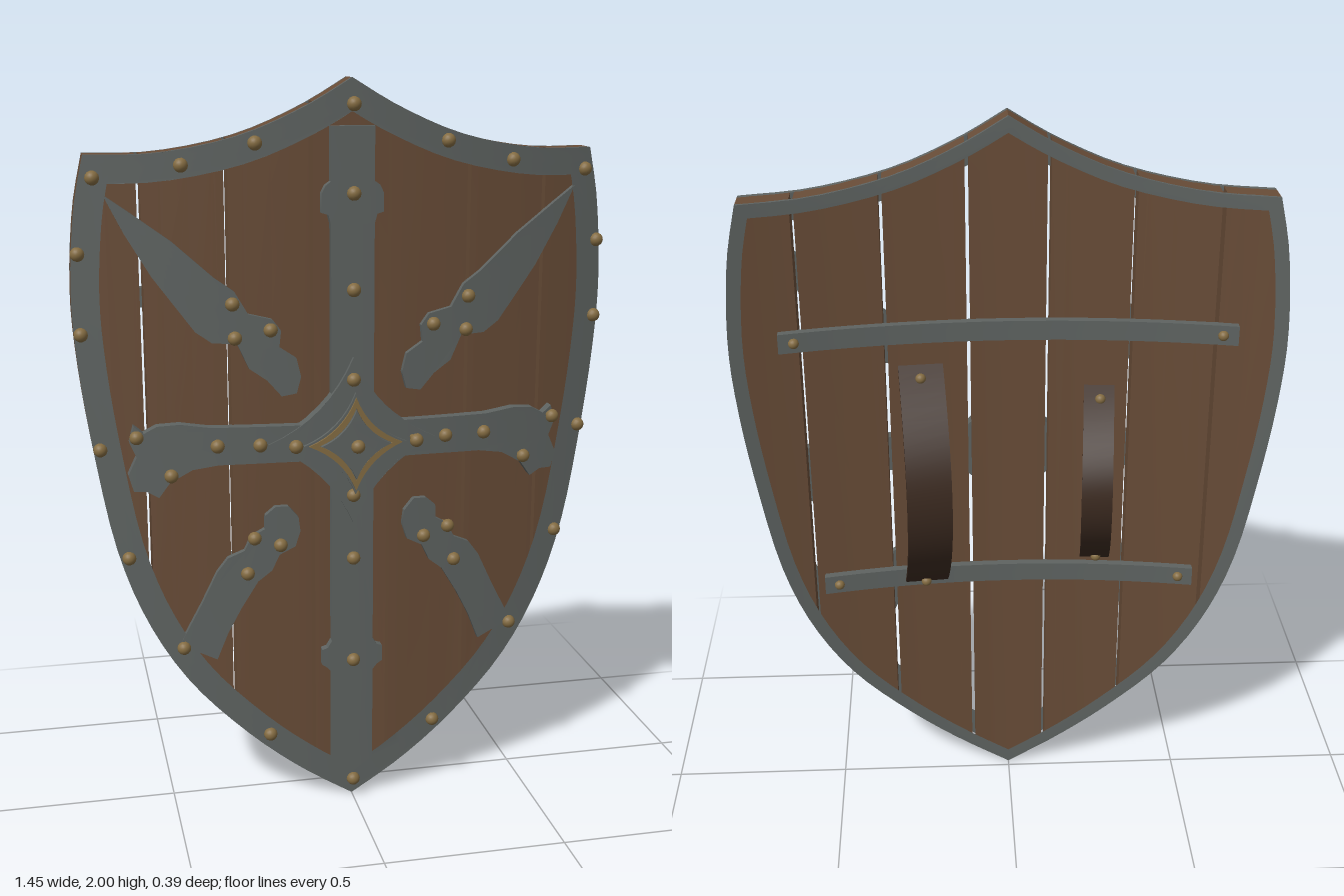
import * as THREE from 'three';
import { toCreasedNormals } from 'three/addons/utils/BufferGeometryUtils.js';

const mat = (name, color) => {
  const m = new THREE.MeshStandardMaterial({ color });
  m.name = name;
  return m;
};
const V = (x, y) => new THREE.Vector2(x, y);
const toPoints = (list) => list.map(([x, y]) => V(x, y));
const flip = (pts) => pts.map((p) => V(-p.x, p.y));
const smooth = (list, n) => new THREE.SplineCurve(toPoints(list)).getPoints(n);
const BEND = 0.19;
const bend = (x) => -BEND * x * x;

// Splits every triangle along the vertical line x = c
function splitAt(tris, c) {
  const out = [];
  for (const t of tris) {
    const lo = t.filter((p) => p[0] < c - 1e-6).length;
    const hi = t.filter((p) => p[0] > c + 1e-6).length;
    if (!lo || !hi) { out.push(t); continue; }
    for (const s of [-1, 1]) {
      const poly = [];
      for (let i = 0; i < 3; i++) {
        const a = t[i], b = t[(i + 1) % 3];
        const da = (a[0] - c) * s, db = (b[0] - c) * s;
        if (da >= 0) poly.push(a);
        if (da * db < 0) poly.push(a.map((v, k) => v + (b[k] - v) * da / (da - db)));
      }
      for (let i = 2; i < poly.length; i++) out.push([poly[0], poly[i - 1], poly[i]]);
    }
  }
  return out;
}

// A flat plate from z0 to z1, curved around the shield
function plate(outline, z0, z1, hole) {
  const shape = new THREE.Shape(outline);
  if (hole) shape.holes.push(new THREE.Path(hole));
  let g = new THREE.ExtrudeGeometry(shape, { depth: z1 - z0, bevelEnabled: false });
  if (g.index) g = g.toNonIndexed();
  const a = g.attributes.position.array;
  let tris = [];
  for (let i = 0; i < a.length; i += 9) {
    tris.push([0, 3, 6].map((k) => [a[i + k], a[i + k + 1], a[i + k + 2]]));
  }
  for (let c = -0.7; c < 0.71; c += 0.07) tris = splitAt(tris, c);
  const pos = tris.flat().flatMap(([x, y, z]) => [x, y, z + z0 + bend(x)]);
  const out = new THREE.BufferGeometry();
  out.setAttribute('position', new THREE.Float32BufferAttribute(pos, 3));
  return toCreasedNormals(out, 0.5);
}

// Keeps the part of an outline between x0 and x1
function clipX(pts, x0, x1) {
  for (const [c, s] of [[x0, 1], [x1, -1]]) {
    const out = [];
    pts.forEach((a, i) => {
      const b = pts[(i + 1) % pts.length];
      const da = (a.x - c) * s, db = (b.x - c) * s;
      if (da >= 0) out.push(a);
      if (da * db < 0) out.push(a.clone().lerp(b, da / (da - db)));
    });
    pts = out;
  }
  return pts;
}

// Moves a clockwise outline inward by d, with mitred corners
function inset(pts, d) {
  const n = pts.length;
  return pts.map((p, i) => {
    const e1 = p.clone().sub(pts[(i + n - 1) % n]).normalize();
    const e2 = pts[(i + 1) % n].clone().sub(p).normalize();
    const n1 = V(e1.y, -e1.x), n2 = V(e2.y, -e2.x);
    const m = n1.clone().add(n2).normalize();
    return p.clone().addScaledVector(m, d / m.dot(n1));
  });
}

// Four-pointed star with hollow sides
function star(rx, ry, pull = 0.28) {
  const s = new THREE.Shape().moveTo(rx, 0);
  for (const [cx, cy, x, y] of [[1, 1, 0, 1], [-1, 1, -1, 0], [-1, -1, 0, -1], [1, -1, 1, 0]]) {
    s.quadraticCurveTo(cx * rx * pull, cy * ry * pull, x * rx, y * ry);
  }
  return s.getPoints(8).slice(0, -1).map((p) => V(p.x, p.y + 1.05));
}

export function createModel() {
  const wood = mat('wood', 0x684c37), iron = mat('iron', 0x5e6361);
  const brass = mat('brass', 0x846c42), leather = mat('leather', 0x3a291f);
  const root = new THREE.Group();
  root.name = 'shield';
  const add = (name, geo, m, parent = root) => {
    const mesh = new THREE.Mesh(geo, m);
    mesh.name = name;
    parent.add(mesh);
    return mesh;
  };

  // Clockwise shield outline from the top point
  const top = smooth([[0, 2], [0.13, 1.925], [0.3, 1.855], [0.5, 1.815], [0.68, 1.81]], 14);
  const side = smooth([[0.68, 1.81], [0.71, 1.66], [0.725, 1.45], [0.715, 1.26], [0.685, 1.03],
    [0.635, 0.76], [0.56, 0.55], [0.45, 0.37], [0.3, 0.215], [0.15, 0.095], [0, 0.0]], 36);
  const half = [...top, ...side.slice(1)];
  const outline = [...half, ...flip(half.slice(1, -1)).reverse()];

  // Seven planks with narrow gaps
  const seams = [-0.8, -0.545, -0.325, -0.105, 0.105, 0.325, 0.545, 0.8];
  for (let i = 0; i < 7; i++) {
    add('plank', plate(clipX(outline, seams[i] + 0.005, seams[i + 1] - 0.005), 0.028, 0.086), wood);
  }

  // Iron rims, wide in front and narrow behind
  add('frontRim', plate(outline, 0.084, 0.101, inset(outline, 0.072)), iron);
  add('backRim', plate(outline, 0.02, 0.03, inset(outline, 0.036)), iron);

  // Upright band with two stepped collars
  const bandEdge = toPoints([[0.058, 1.88], [0.058, 1.74], [0.072, 1.73], [0.082, 1.71], [0.082, 1.66],
    [0.065, 1.655], [0.058, 1.63], [0.058, 0.475], [0.07, 0.455], [0.085, 0.45], [0.085, 0.405],
    [0.07, 0.395], [0.058, 0.38], [0.058, 0.11], [0, 0.07]]);
  add('uprightBand', plate([...bandEdge, ...flip(bandEdge.slice(0, -1)).reverse()], 0.085, 0.11), iron);

  // Cross arms with flared ends, and the hollow star at their middle
  const armEdge = toPoints([[0.2, 1.1], [0.38, 1.1], [0.46, 1.11], [0.52, 1.105], [0.555, 1.085],
    [0.58, 1.105], [0.592, 1.06], [0.575, 1.02], [0.598, 0.97], [0.585, 0.925], [0.55, 0.925],
    [0.52, 0.908], [0.49, 0.95], [0.43, 0.985], [0.36, 0.997], [0.2, 1.0]]);
  add('crossArms', plate([...armEdge, ...flip(armEdge).reverse()], 0.085, 0.117), iron);
  add('centreStar', plate(star(0.23, 0.23, 0.3), 0.085, 0.122), iron);

  // Raised boss with a brass inlay
  const post = add('bossPost', new THREE.CylinderGeometry(0.035, 0.035, 0.04, 16), iron);
  post.rotation.x = Math.PI / 2;
  post.position.set(0, 1.05, 0.128);
  add('bossPlate', plate(star(0.14, 0.14), 0.14, 0.15), iron);
  add('bossTrim', plate(star(0.128, 0.128), 0.149, 0.156, star(0.1, 0.1)), brass);
  add('bossCap', plate(star(0.095, 0.095), 0.15, 0.162), iron);

  // Four diagonal mounts
  const upperMount = toPoints([[0.635, 1.71], [0.585, 1.61], [0.52, 1.5], [0.413, 1.355], [0.37, 1.325],
    [0.305, 1.322], [0.275, 1.255], [0.228, 1.222], [0.19, 1.178], [0.15, 1.185], [0.138, 1.23],
    [0.15, 1.28], [0.195, 1.31], [0.19, 1.355], [0.212, 1.385], [0.275, 1.4], [0.31, 1.46],
    [0.36, 1.495], [0.466, 1.59], [0.57, 1.665]]);
  const lowerMount = toPoints([[0.175, 0.872], [0.148, 0.84], [0.143, 0.8], [0.157, 0.757], [0.2, 0.735],
    [0.222, 0.69], [0.26, 0.66], [0.307, 0.583], [0.345, 0.51], [0.375, 0.435], [0.475, 0.48],
    [0.413, 0.6], [0.37, 0.69], [0.34, 0.73], [0.295, 0.75], [0.276, 0.79], [0.24, 0.81],
    [0.238, 0.848], [0.21, 0.872]]);
  for (const shape of [upperMount, lowerMount]) {
    for (const pts of [shape, flip(shape)]) add('diagonalMount', plate(pts, 0.085, 0.104), iron);
  }

  // Domed rivets on short shanks
  const dome = new THREE.SphereGeometry(0.019, 14, 6, 0, Math.PI * 2, 0, Math.PI / 2).rotateX(Math.PI / 2);
  const base = new THREE.CircleGeometry(0.019, 14).rotateY(Math.PI);
  const shank = new THREE.CylinderGeometry(0.007, 0.007, 0.04, 8).rotateX(Math.PI / 2).translate(0, 0, -0.018);
  const rivet = (x, y, z, back = false) => {
    const g = new THREE.Group();
    g.name = 'rivet';
    for (const part of [dome, base, shank]) add('rivetPart', part, brass, g);
    g.position.set(x, y, z + bend(x));
    g.rotation.y = Math.atan(2 * BEND * x) * -1 * -1 + (back ? Math.PI : 0);
    if (back) g.scale.setScalar(0.75);
    // Lean outward with the curved face
    if (!back) g.rotation.y = Math.atan(2 * BEND * x);
    root.add(g);
  };
  const pairs = [
    [0.66, 1.754, 0.115], [0.705, 1.56, 0.115], [0.705, 1.35, 0.115], [0.668, 1.04, 0.115],
    [0.604, 0.737, 0.115], [0.234, 0.21, 0.118], [0.254, 1.84, 0.12], [0.44, 1.786, 0.118],
    [0.318, 1.43, 0.12], [0.22, 1.36, 0.12], [0.313, 1.34, 0.12],
    [0.27, 0.79, 0.12], [0.2, 0.768, 0.12], [0.29, 0.69, 0.12], [0.466, 0.477, 0.118],
    [0.575, 1.08, 0.138], [0.488, 0.975, 0.138], [0.366, 1.055, 0.138], [0.254, 1.055, 0.138], [0.164, 1.055, 0.165],
  ];
  for (const [x, y, z] of pairs) for (const s of [-1, 1]) rivet(s * x, y, z);
  for (const y of [1.935, 1.71, 1.46, 1.22, 0.9, 0.72, 0.42, 0.055]) rivet(0, y, 0.122);
  rivet(0, 1.05, 0.176);

  // Two iron bars across the back
  for (const [y, w, rx] of [[1.435, 0.6, 0.56], [0.69, 0.52, 0.48]]) {
    const h = 0.027;
    add('backBar', plate([V(-w, y - h), V(w, y - h), V(w, y + h), V(-w, y + h)], 0.006, 0.03), iron);
    for (const s of [-1, 1]) rivet(s * rx, y, 0.004, true);
  }

  // Bowed leather straps for arm and hand
  for (const [name, x, width, reach] of [['armStrap', 0.235, 0.12, 0.34], ['handStrap', -0.245, 0.082, 0.27]]) {
    const outer = [], inner = [];
    for (let i = 0; i <= 24; i++) {
      const t = i / 12 - 1, bow = 1 - t * t;
      outer.push(V(-0.2 * bow, t * reach));
      inner.push(V(-0.19 * bow + 0.008, t * (reach - 0.004)));
    }
    const g = new THREE.ExtrudeGeometry(new THREE.Shape([...outer, ...inner.reverse()]),
      { depth: width, bevelEnabled: false });
    g.translate(0, 0, -width / 2).rotateY(-Math.PI / 2);
    const strap = add(name, toCreasedNormals(g, 0.5), leather);
    strap.position.set(x, 1.0, 0.012);
    strap.rotation.y = Math.atan(2 * BEND * x);
    for (const s of [-1, 1]) rivet(x, 1 + s * (reach - 0.025), -0.012, true);
  }
  return root;
}
